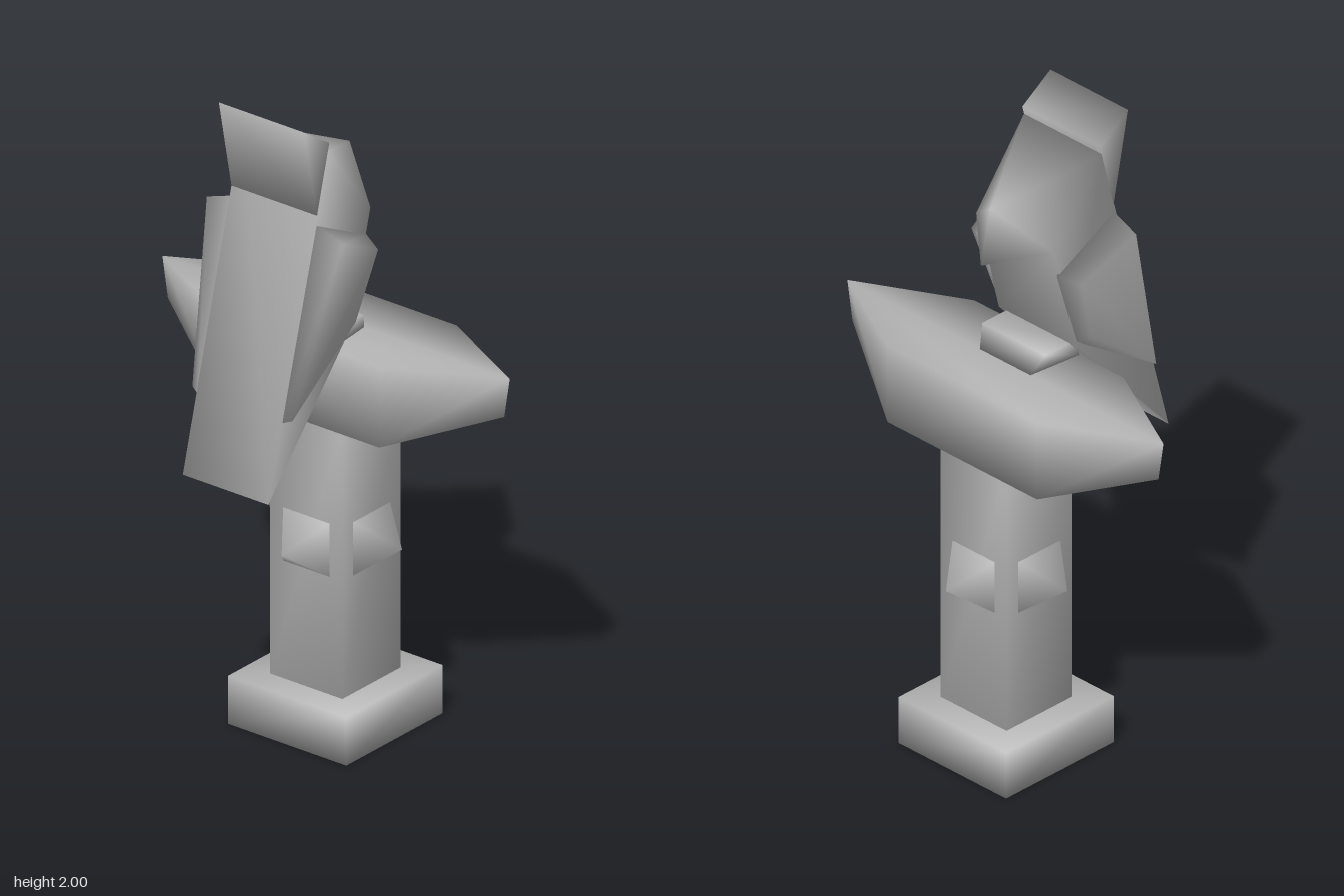
import * as THREE from 'three';
import { mergeVertices } from 'three/addons/utils/BufferGeometryUtils.js';
import { ConvexGeometry } from 'three/addons/geometries/ConvexGeometry.js';

const stone = new THREE.MeshStandardMaterial({ color: 0xb3b3b3 });
stone.name = 'grey stone';

// Weld the corners so shading runs smoothly round every edge
function smooth(geometry) {
  geometry.deleteAttribute('normal');
  if (geometry.attributes.uv) geometry.deleteAttribute('uv');
  const welded = mergeVertices(geometry, 1e-4);
  welded.computeVertexNormals();
  return welded;
}

function hull(points) {
  return smooth(new ConvexGeometry(points.map((p) => new THREE.Vector3(...p))));
}

// Repeat points on both sides of the x = 0 plane
function bothSides(points) {
  return points.flatMap(([x, y, z]) => [[x, y, z], [-x, y, z]]);
}

export function createModel() {
  const model = new THREE.Group();
  const add = (name, geometry, parent = model) => {
    const mesh = new THREE.Mesh(geometry, stone);
    mesh.name = name;
    parent.add(mesh);
    return mesh;
  };
  const axisZ = -0.125; // centre line of the pole

  // Plinth and pole
  add('plinth', smooth(new THREE.BoxGeometry(0.425, 0.15, 0.43))).position.set(0, 0.075, axisZ);
  add('pole', smooth(new THREE.BoxGeometry(0.26, 0.85, 0.26))).position.set(0, 0.575, axisZ);

  // Four pyramid studs round the pole
  const stud = new THREE.ConeGeometry(0.083 * Math.SQRT2, 0.11, 4, 1, true, Math.PI / 4);
  stud.rotateX(Math.PI / 2).translate(0, 0, 0.13 + 0.055);
  const studGeometry = smooth(stud);
  const studs = new THREE.Group();
  studs.name = 'studs';
  studs.position.set(0, 0.6, axisZ);
  model.add(studs);
  for (let i = 0; i < 4; i++) add('stud', studGeometry, studs).rotation.y = (i * Math.PI) / 2;

  // Crossbar with pointed, upswept ends
  add('crossbar', hull(bothSides([
    [0.625, 1.25, -0.128], [0.295, 1.25, -0.3], [0.295, 1.25, 0.045],
    [0.605, 1.125, -0.128], [0.295, 1.0, -0.3], [0.295, 1.0, 0.045],
  ])));

  // Bird's feet
  add('feet', hull(bothSides([
    [0.1, 1.25, -0.13], [0.12, 1.25, 0.045],
    [0.125, 1.31, -0.095], [0.125, 1.31, 0.03],
  ])));

  // Bird's body, tail and beaked head
  const w = 0.154;
  const side = [[1.9, 0.1], [1.656, -0.09], [1.31, 0], [0.9, 0.365]]; // crown, throat, rump, tail
  const corners = [
    ...side.map(([y, z]) => [w, y, z]),
    ...side.map(([y, z]) => [-w, y, z]),
    [0, 1.778, -0.188], [0, 1.608, -0.226], // brow, beak tip
  ];
  const body = new THREE.BufferGeometry();
  body.setAttribute('position', new THREE.Float32BufferAttribute(corners.flat(), 3));
  body.setIndex([
    0, 3, 2, 0, 2, 1, 4, 6, 7, 4, 5, 6, // flanks
    4, 7, 3, 4, 3, 0, // back
    3, 7, 6, 3, 6, 2, 2, 6, 5, 2, 5, 1, // under tail and breast
    0, 8, 4, 0, 1, 8, 4, 8, 5, // crown and cheeks
    1, 9, 8, 5, 8, 9, 1, 5, 9, // beak
  ]);
  body.computeVertexNormals();
  add('birdBody', body);

  // Crest wedge behind the head
  add('crest', hull(bothSides([[w, 2.0, 0.204], [w, 1.926, 0.093], [w, 1.715, 0.147]])));

  // Folded wings
  for (const s of [1, -1]) {
    add(s > 0 ? 'leftWing' : 'rightWing', hull([
      [0.15, 1.69, 0.15], [0.15, 1.575, -0.077], [0.15, 1.325, 0], [0.15, 1.13, 0.304],
      [0.245, 1.656, 0.145], [0.218, 1.56, -0.045], [0.19, 1.35, 0.02], [0.18, 1.14, 0.29],
    ].map(([x, y, z]) => [s * x, y, z])));
  }

  return model;
}
